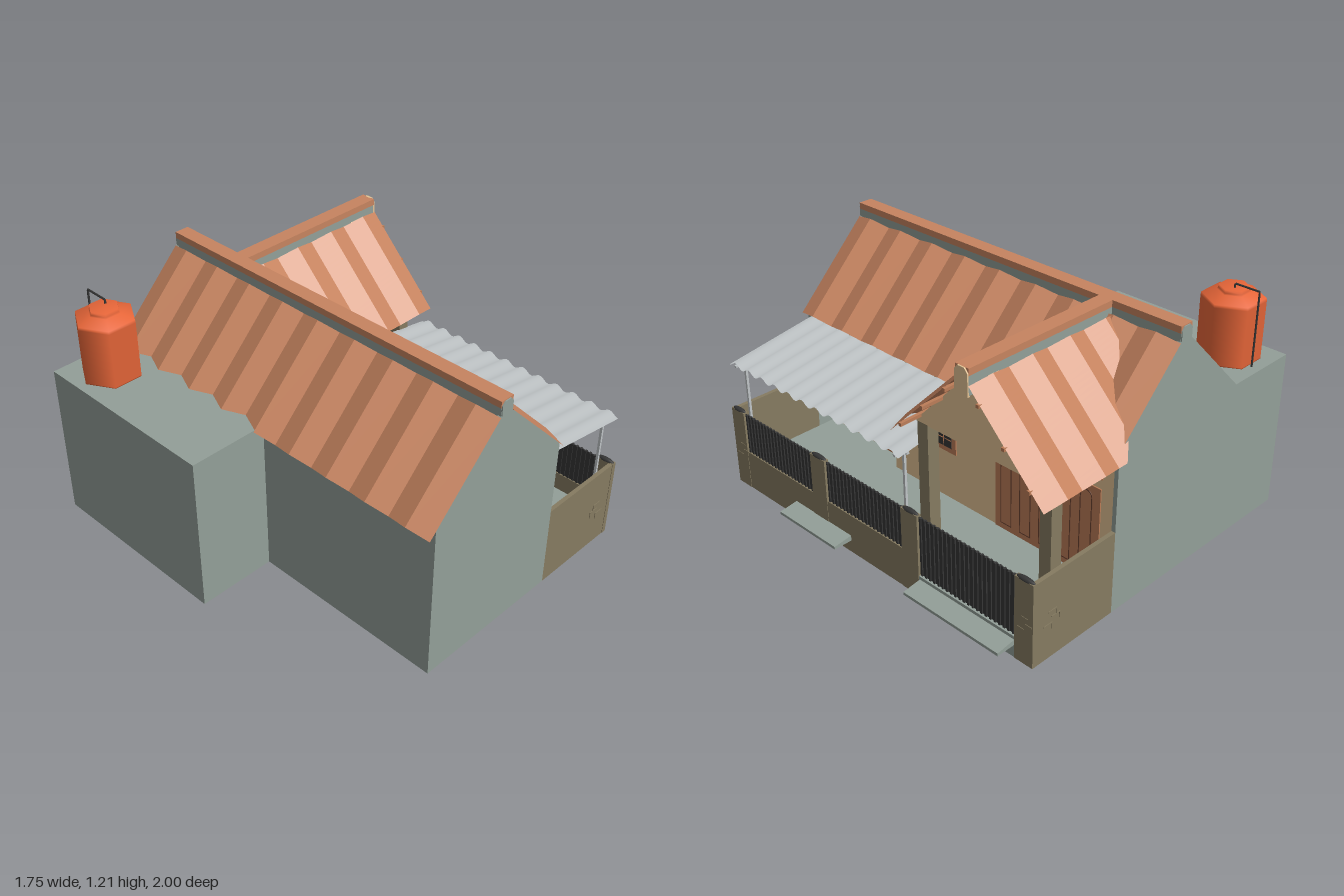
import * as THREE from 'three';

const mat = (name, color, side = THREE.FrontSide) => {
  const m = new THREE.MeshStandardMaterial({ color, side });
  m.name = name;
  return m;
};

export function createModel() {
  const root = new THREE.Group();
  root.name = 'house';
  const plaster = mat('greenGreyPlaster', 0x939f98);
  const olive = mat('oliveWall', 0x867b61);
  const cream = mat('creamWall', 0xe3c294);
  const tile = mat('terracottaTile', 0xc78460, THREE.DoubleSide);
  const wood = mat('brownWood', 0xbc7d58);
  const darkWood = mat('darkWood', 0x6a4230);
  const black = mat('blackIron', 0x363636);
  const metal = mat('greyMetal', 0xbfc4c6, THREE.DoubleSide);
  const orange = mat('orangePlastic', 0xf06a3b);

  const add = (name, geo, material, parent = root) => {
    const mesh = new THREE.Mesh(geo, material);
    mesh.name = name;
    parent.add(mesh);
    return mesh;
  };
  // Box given by its limits on each axis
  const box = (name, m, x0, x1, y0, y1, z0, z1, parent = root) => {
    const mesh = add(name, new THREE.BoxGeometry(x1 - x0, y1 - y0, z1 - z0), m, parent);
    mesh.position.set((x0 + x1) / 2, (y0 + y1) / 2, (z0 + z1) / 2);
    return mesh;
  };
  const extrude = (pts, depth) => new THREE.ExtrudeGeometry(
    new THREE.Shape(pts.map(p => new THREE.Vector2(...p))), { depth, bevelEnabled: false });

  // Gable outline, centred on the ridge
  const gable = (half, base, eave) => [[-half, base], [half, base], [half, eave], [0.033, 1.14],
    [0.033, 1.185], [0.018, 1.202], [-0.018, 1.202], [-0.033, 1.185], [-0.033, 1.14], [-half, eave]];

  // One folded tile slope: d is distance from the ridge, folds lift along the normal.
  // trim(along, d, sign) returns the corrected pair where slopes meet.
  function slope(sign, length, bands, rows, trim) {
    const geo = new THREE.PlaneGeometry(1, 1, bands, rows);
    const p = geo.attributes.position;
    for (let j = 0; j <= rows; j++) for (let i = 0; i <= bands; i++) {
      const t = sign > 0 ? 1 - i / bands : i / bands;
      const [along, d] = trim(length * t, 0.038 + 0.385 * j / rows, sign);
      const fold = along / length * bands % 2;
      const lift = 0.023 * (1 - Math.abs(1 - fold));
      p.setXYZ(j * (bands + 1) + i, sign * (d + lift), 1.173 - d + lift, along);
    }
    const flat = geo.toNonIndexed();
    flat.computeVertexNormals();
    return flat;
  }
  function roof(name, length, bands, rows, trim) {
    const g = new THREE.Group();
    g.name = name;
    for (const s of [-1, 1]) add('tileSlope', slope(s, length, bands, rows, trim), tile, g);
    box('ridgeWall', plaster, -0.035, 0.035, 1.09, 1.175, 0.005, length - 0.005, g);
    box('ridgeCap', tile, -0.036, 0.036, 1.175, 1.206, 0.005, length - 0.005, g);
    root.add(g);
    return g;
  }

  // Main house shell
  const RX = -0.097, RZ = -0.56;
  for (const z of [-0.95, 0.97])
    add('gableWall', extrude(gable(0.39, 0, 0.783), 0.02), plaster).position.set(RX, 0, z);
  box('backWall', plaster, -0.487, -0.465, 0, 0.78, 0.02, 0.97);
  box('houseBase', plaster, -0.465, 0.26, 0.08, 0.1, -0.04, 0.38);
  box('houseBase', plaster, -0.465, 0.18, 0.08, 0.1, 0.38, 0.97);
  box('houseFloor', metal, -0.43, 0.13, 0.072, 0.081, -0.03, 0.93);
  box('roomWall', cream, 0.18, 0.2, 0, 0.86, 0.4, 0.97);
  box('returnWall', cream, 0.18, 0.28, 0, 0.78, 0.38, 0.4);
  box('hallWall', cream, 0.26, 0.28, 0, 0.78, -0.93, 0.38);
  // The porch side of the eave is cut short inside the porch
  roof('mainRoof', 1.94, 18, 1, (a, d, s) => [a, s > 0 && a > 0.05 && a < 0.76 ? Math.min(d, 0.37) : d])
    .position.set(RX, 0, -0.95);

  // Annex, open underneath and joined to the back of the house
  box('annexWall', plaster, -0.875, -0.86, 0, 0.78, -0.95, 0.02);
  box('annexWall', plaster, -0.86, -0.485, 0, 0.78, -0.95, -0.935);
  box('annexWall', plaster, -0.86, 0.26, 0, 0.78, 0.005, 0.02);
  box('annexTop', plaster, -0.86, 0.26, 0.765, 0.78, -0.935, 0.005);

  // Porch with cross gable; its tiles start at the valley
  const cross = roof('porchRoof', 0.865, 8, 24, (a, d) => [Math.max(a, d - 0.03), d]);
  cross.rotation.y = Math.PI / 2;
  cross.position.set(-0.1, 0, RZ);
  const porchGable = add('porchGable', extrude(gable(0.375, 0.775, 0.783), 0.06), cream);
  porchGable.rotation.y = Math.PI / 2;
  porchGable.position.set(0.6, 0, RZ);
  const ridgeEnd = add('ridgeEnd', extrude([[-0.035, 1.085], [0.035, 1.085], [0.035, 1.185],
    [0.018, 1.206], [-0.018, 1.206], [-0.035, 1.185]], 0.012), cream);
  ridgeEnd.rotation.y = Math.PI / 2;
  ridgeEnd.position.set(0.755, 0, RZ);
  box('porchCeiling', cream, 0.28, 0.605, 0.775, 0.785, -0.935, -0.185);
  for (const z of [-0.22, -0.9]) box('porchPost', olive, 0.6, 0.66, 0.1, 0.777, z - 0.03, z + 0.03);
  for (const s of [-1, 1]) for (const d of [0.09, 0.22, 0.35])
    box('purlin', wood, 0.6, 0.772, 1.155 - d, 1.17 - d, RZ + s * d - 0.008, RZ + s * d + 0.008);
  const lamp = add('lamp', new THREE.SphereGeometry(0.013, 10, 8), metal);
  lamp.position.set(0.5, 0.762, RZ);

  // Doors, windows and vents on the yard side
  const HX = 0.28;
  function windowAt(x, z0, z1) {
    box('windowFrame', wood, x, x + 0.006, 0.36, 0.535, z0, z1);
    const c = (z0 + z1) / 2;
    for (const s of [-1, 1]) {
      const m = c + s * 0.06;
      box('windowPane', black, x + 0.005, x + 0.008, 0.385, 0.515, m - 0.048, m + 0.048);
      box('windowBar', wood, x + 0.006, x + 0.01, 0.385, 0.515, m - 0.0015, m + 0.0015);
      for (const y of [0.425, 0.47])
        box('windowBar', wood, x + 0.006, x + 0.01, y, y + 0.003, m - 0.048, m + 0.048);
    }
  }
  windowAt(0.2, 0.67, 0.94);
  windowAt(HX, -0.02, 0.25);
  box('door', wood, 0.2, 0.208, 0.11, 0.53, 0.455, 0.62);
  const vent = (x, y, z) => {
    box('vent', wood, x, x + 0.006, y - 0.02, y + 0.02, z - 0.02, z + 0.02);
    for (const a of [-1, 1]) box('ventCross', darkWood, x + 0.005, x + 0.008, y - 0.004, y + 0.004,
      z - 0.02, z + 0.02).rotation.x = a * Math.PI / 4;
  };
  for (const z of [0.904, 0.786, 0.69, 0.476]) vent(0.2, 0.595, z);
  for (const z of [0.24, 0.112, 0.005]) vent(HX, 0.595, z);
  for (let i = 0; i < 6; i++) vent(HX, 0.637, -0.29 - i * 0.111);
  box('foldingDoors', wood, HX, HX + 0.006, 0.11, 0.57, -0.86, -0.27);
  for (let i = 0; i < 5; i++) {
    const arch = new THREE.Shape();
    arch.moveTo(-0.033, 0.14).lineTo(0.033, 0.14).lineTo(0.033, 0.505);
    arch.absarc(0, 0.51, 0.033, 0, Math.PI, false);
    const inner = new THREE.Path();
    inner.moveTo(-0.028, 0.145).lineTo(0.028, 0.145).lineTo(0.028, 0.505);
    inner.absarc(0, 0.51, 0.028, 0, Math.PI, false);
    arch.holes.push(inner);
    const m = add('doorArch', new THREE.ExtrudeGeometry(arch,
      { depth: 0.004, bevelEnabled: false, curveSegments: 6 }), darkWood);
    m.rotation.y = Math.PI / 2;
    m.position.set(HX + 0.005, 0, -0.335 - i * 0.113);
  }

  // Yard floor, walls, pillars and fence
  box('yardFloor', plaster, 0.19, 0.756, 0.09, 0.11, -0.93, 0.97);
  for (const z of [-0.95, 0.97]) box('yardSideWall', olive, 0.293, 0.775, 0, 0.408, z, z + 0.02);
  box('yardFrontWall', olive, 0.755, 0.775, 0, 0.2, -0.29, 0.97);
  box('gateSill', plaster, 0.75, 0.775, 0, 0.105, -0.85, -0.29);
  for (const [z0, z1] of [[0.9, 0.992], [0.305, 0.405], [-0.295, -0.195], [-0.95, -0.85]]) {
    box('pillar', olive, 0.753, 0.777, 0, 0.41, z0, z1);
    const cap = add('pillarCap', new THREE.SphereGeometry(1, 12, 4, 0, Math.PI * 2, 0, Math.PI / 2), black);
    cap.scale.set(0.014, 0.014, (z1 - z0) / 2);
    cap.position.set(0.765, 0.408, (z0 + z1) / 2);
  }
  for (const [z0, z1, y0] of [[0.405, 0.9, 0.2], [-0.195, 0.305, 0.2], [-0.85, -0.295, 0.11]]) {
    box('fencePanel', black, 0.761, 0.765, y0, 0.403, z0, z1);
    const n = Math.round((z1 - z0) / 0.025);
    for (let i = 0; i < n; i++) {
      const z = z0 + (i + 0.5) * (z1 - z0) / n;
      box('fenceBar', black, 0.757, 0.771, y0, 0.403, z - 0.005, z + 0.005);
    }
  }
  // Sloping slabs on the street side
  const wedge = [[0.772, 0.063], [0.87, 0.063], [0.87, 0.077], [0.772, 0.09]];
  for (const [z0, z1] of [[0.15, 0.54], [-0.85, -0.3]])
    add('streetRamp', extrude(wedge, z1 - z0), plaster).position.z = z0;

  // Worn brick lines on the yard walls
  for (const [a, y] of [[0, 0.2], [0.045, 0.17], [0.02, 0.23]]) {
    for (const z of [0.93, -0.91]) box('brickLine', olive, 0.776, 0.779, y, y + 0.005, z + a - 0.035, z + a);
    for (const z of [0.989, -0.953]) {
      box('brickLine', olive, 0.62 + a, 0.67 + a, y, y + 0.005, z, z + 0.004);
      box('brickLine', olive, 0.62 + a, 0.624 + a, y - 0.028, y, z, z + 0.004);
    }
  }

  // Corrugated canopy on thin posts; shallow waves give the soft normals
  const sheet = new THREE.PlaneGeometry(1, 1, 1, 144);
  const sp = sheet.attributes.position, uv = sheet.attributes.uv;
  const wave = height => {
    for (let i = 0; i < sp.count; i++) {
      const u = uv.getX(i), v = uv.getY(i);
      sp.setXYZ(i, 0.293 + 0.482 * u, 0.735 - 0.077 * u - height * Math.cos(v * 24 * Math.PI), 0.97 - 1.165 * v);
    }
  };
  wave(0.002);
  sheet.computeVertexNormals();
  wave(0.011);
  add('canopySheet', sheet, metal);
  box('canopyBeam', metal, 0.71, 0.724, 0.638, 0.652, -0.19, 0.94);
  for (const z of [0.93, -0.165]) {
    box('canopyPost', metal, 0.711, 0.723, 0.1, 0.645, z - 0.006, z + 0.006);
    box('canopyRafter', metal, 0.293, 0.775, 0.678, 0.69, z - 0.006, z + 0.006).rotation.z = -0.158;
  }

  // Water tank and its pipe
  const profile = [[0, 0.778], [0.143, 0.778], [0.143, 0.785], [0.143, 1.06], [0.141, 1.075], [0.075, 1.098],
    [0.07, 1.105], [0.07, 1.12], [0, 1.122]].map(p => new THREE.Vector2(...p));
  add('waterTank', new THREE.LatheGeometry(profile, 6, Math.PI / 2), orange).position.set(-0.69, 0, -0.765);
  const pipe = new THREE.CurvePath();
  const pts = [[-0.67, 0.78, -0.905], [-0.67, 1.14, -0.905], [-0.67, 1.14, -0.78], [-0.67, 1.11, -0.78]]
    .map(p => new THREE.Vector3(...p));
  for (let i = 0; i < 3; i++) pipe.add(new THREE.LineCurve3(pts[i], pts[i + 1]));
  add('tankPipe', new THREE.TubeGeometry(pipe, 60, 0.005, 6), black);
  return root;
}
